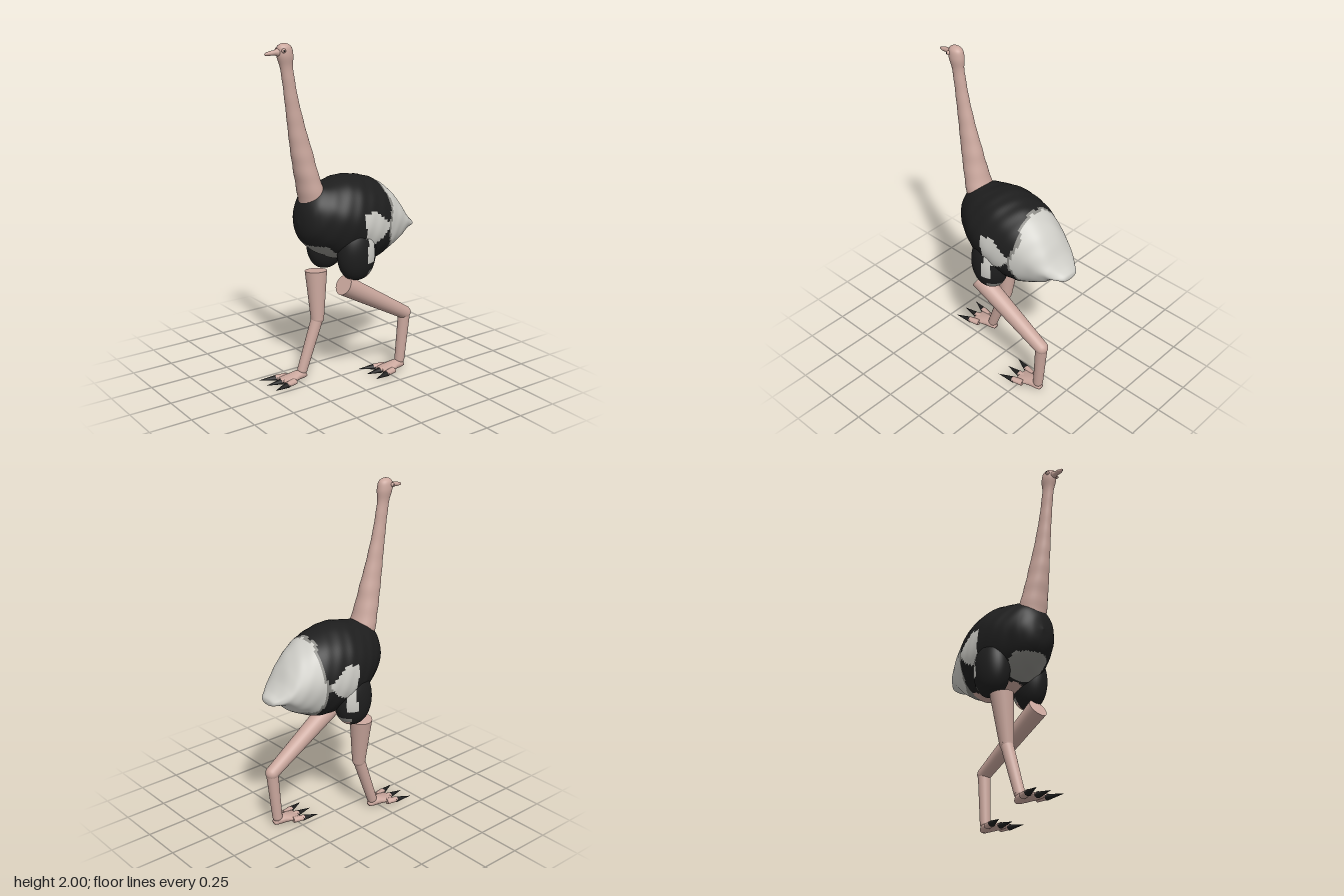
import * as THREE from 'three';

const makeMat = (name, color) => {
  const m = new THREE.MeshStandardMaterial({ color });
  m.name = name;
  return m;
};

// Closed skin over rings of points; pick(x, y, z) gives the material index of each face
function loft(name, rings, mats, pick) {
  const n = rings[0].length;
  const faces = mats.map(() => []);
  const at = (i, j) => rings[i][j % n];
  for (let i = 0; i < rings.length - 1; i++) {
    for (let j = 0; j < n; j++) {
      const p = at(i, j), q = at(i + 1, j + 1);
      const k = pick ? pick((p[0] + q[0]) / 2, (p[1] + q[1]) / 2, (p[2] + q[2]) / 2) : 0;
      const a = i * n + j, b = i * n + (j + 1) % n;
      faces[k].push(a, a + n, b, b, a + n, b + n);
    }
  }
  const g = new THREE.BufferGeometry();
  g.setAttribute('position', new THREE.Float32BufferAttribute(rings.flat(2), 3));
  g.setIndex(faces.flat());
  let start = 0;
  faces.forEach((f, k) => {
    if (f.length) g.addGroup(start, f.length, k);
    start += f.length;
  });
  g.computeVertexNormals();
  const mesh = new THREE.Mesh(g, mats);
  mesh.name = name;
  return mesh;
}

const circle = (n, fn) => Array.from({ length: n }, (_, j) => {
  const a = (j / n) * Math.PI * 2;
  return fn(Math.cos(a), Math.sin(a), a);
});

// Smoothly resample rows of four numbers
function resample(rows, steps) {
  const c1 = new THREE.CatmullRomCurve3(rows.map(r => new THREE.Vector3(r[0], r[1], r[2])));
  const c2 = new THREE.CatmullRomCurve3(rows.map(r => new THREE.Vector3(r[0], r[3], 0)));
  return Array.from({ length: steps + 1 }, (_, i) => {
    const p = c1.getPoint(i / steps);
    return [p.x, p.y, p.z, Math.max(0, c2.getPoint(i / steps).y)];
  });
}

// Side outline of the pale wing patch, as [z, y]
const WING = [[-0.01, 1.04], [-0.09, 1.06], [-0.14, 1.01], [-0.2, 0.96], [-0.19, 0.93],
  [-0.12, 0.87], [-0.08, 0.86], [-0.075, 0.755], [-0.015, 0.755], [-0.03, 0.88], [-0.015, 0.95]];
function inWing(z, y) {
  let inside = false;
  WING.forEach(([z1, y1], i) => {
    const [z2, y2] = WING[(i + 1) % WING.length];
    if ((y1 > y) !== (y2 > y) && z < z1 + ((y - y1) / (y2 - y1)) * (z2 - z1)) inside = !inside;
  });
  return inside;
}

// Plumage colours: 0 black, 1 white, 2 grey, 3 skin
function plumage(x, y, z) {
  const ax = Math.abs(x);
  const edge = -0.212 + 0.012 * Math.sin(y * 22) + 0.005 * Math.sin(x * 70);
  if (y < 0.755 && ax < 0.1 && z < 0.13 && z > -0.24) return 3;
  if (z > 0.08 && y < 0.87 && ax < 0.12 - Math.max(0, 0.8 - y)) return 2;
  if (z < edge) return z > edge - 0.016 || y < 0.79 ? 2 : 1;
  if (ax > 0.08 && inWing(z, y)) return 1;
  if (ax > 0.1 && z < -0.17 && Math.abs(y - 0.95) < 0.025) return 2;
  return 0;
}
const thighPlumage = (x, y, z) => (z < -0.04 && y < 0.72 ? (y < 0.69 ? 3 : 2) : plumage(x, y, z) === 1 ? 1 : 0);

export function createModel() {
  const root = new THREE.Group();
  root.name = 'ostrich';
  const black = makeMat('blackFeathers', 0x1e1e1e);
  const white = makeMat('whiteFeathers', 0xcfcec8);
  const grey = makeMat('greyFeathers', 0x8b8a85);
  const skin = makeMat('pinkSkin', 0xcba89e);
  const coat = [black, white, grey, skin];

  const add = (name, geo, mat, pos, parent = root) => {
    const m = new THREE.Mesh(geo, mat);
    m.name = name;
    m.position.set(...pos);
    parent.add(m);
    return m;
  };

  // Body and tail: z, top, bottom, half width
  const bodyRows = resample([
    [0.298, 1.0, 1.0, 0], [0.28, 1.1, 0.91, 0.075], [0.24, 1.165, 0.855, 0.125],
    [0.18, 1.2, 0.81, 0.165], [0.1, 1.215, 0.77, 0.205], [0, 1.235, 0.735, 0.226],
    [-0.1, 1.225, 0.715, 0.222], [-0.2, 1.195, 0.72, 0.203], [-0.3, 1.125, 0.765, 0.165],
    [-0.36, 1.055, 0.8, 0.14], [-0.41, 0.975, 0.85, 0.115], [-0.45, 0.93, 0.86, 0.085],
    [-0.485, 0.905, 0.865, 0.05], [-0.492, 0.885, 0.885, 0]], 110);
  root.add(loft('body', bodyRows.map(([z, top, bot, w]) => circle(96, (c, s, a) => {
    const k = 1 + 0.012 * Math.sin(a * 7 + z * 30) * Math.sin(z * 45);
    return [w * c * k, (top + bot) / 2 + ((top - bot) / 2) * s * k, z];
  })), coat, plumage));

  // Feathered thighs
  for (const side of [-1, 1]) {
    const rings = Array.from({ length: 41 }, (_, i) => {
      const t = -Math.PI / 2 + (i / 40) * Math.PI, r = Math.pow(Math.max(0, Math.cos(t)), 0.8);
      return circle(48, (c, s) => [side * 0.142 + 0.092 * r * c, 0.81 + 0.16 * Math.sin(t),
        (side < 0 ? 0.015 : -0.005) + 0.12 * r * s]);
    });
    root.add(loft(side > 0 ? 'leftThigh' : 'rightThigh', rings, coat, thighPlumage));
  }

  // Neck and head: y, centre z, half width, half depth
  const neckRows = resample([
    [1.1, 0.19, 0.088, 0.083], [1.2, 0.218, 0.08, 0.073], [1.3, 0.245, 0.067, 0.067],
    [1.4, 0.267, 0.056, 0.063], [1.5, 0.29, 0.046, 0.054], [1.6, 0.31, 0.039, 0.046],
    [1.7, 0.329, 0.034, 0.039], [1.8, 0.345, 0.031, 0.036], [1.88, 0.358, 0.031, 0.038],
    [1.94, 0.366, 0.039, 0.048], [1.98, 0.37, 0.033, 0.042], [1.996, 0.372, 0.016, 0.022],
    [2.0, 0.372, 0, 0]], 70);
  root.add(loft('neckAndHead', neckRows.map(([y, z, rx, rz]) => circle(32, (c, s) => {
    const k = 1 + 0.015 * Math.sin(y * 60);
    return [rx * c * k, y, z + rz * s * k];
  })), [skin]));

  // Beak: z, centre y, half width, half height
  const zLoft = (name, rows, n) => loft(name, rows.map(([z, y, rx, ry]) =>
    circle(n, (c, s) => [rx * c, y + ry * s, z])), [skin]);
  root.add(zLoft('beak', [[0.494, 1.946, 0, 0], [0.485, 1.948, 0.006, 0.008], [0.46, 1.951, 0.016, 0.012],
    [0.43, 1.953, 0.013, 0.014], [0.41, 1.953, 0.02, 0.022], [0.38, 1.953, 0.025, 0.026]], 16));

  // Eyes
  for (const side of [-1, 1]) {
    add('eyelid', new THREE.SphereGeometry(0.012, 16, 12), skin, [side * 0.034, 1.963, 0.393]);
    add('eye', new THREE.SphereGeometry(0.006, 12, 8), black, [side * 0.042, 1.964, 0.395]);
  }

  // Legs: hip, knee and ankle with their radii
  function limb(name, a, b, ra, rb) {
    const p = new THREE.Vector3(...a), d = new THREE.Vector3(...b).sub(p);
    const m = add(name, new THREE.CylinderGeometry(rb, ra, d.length(), 28), skin,
      p.clone().addScaledVector(d, 0.5).toArray());
    m.quaternion.setFromUnitVectors(new THREE.Vector3(0, 1, 0), d.normalize());
  }
  function leg(side, hip, knee, ankle, hipR, footZ) {
    limb(side + 'UpperLeg', hip, knee, hipR, 0.04);
    add(side + 'Knee', new THREE.SphereGeometry(0.04, 24, 16), skin, knee);
    limb(side + 'LowerLeg', knee, ankle, 0.036, 0.03);
    add(side + 'Ankle', new THREE.SphereGeometry(0.03, 20, 14), skin, ankle);

    const foot = new THREE.Group();
    foot.name = side + 'Foot';
    foot.position.set(ankle[0], 0, footZ);
    root.add(foot);
    // Sole, then three toes with claws
    foot.add(zLoft('sole', [[0.125, 0.018, 0, 0], [0.12, 0.018, 0.055, 0.012], [0.07, 0.022, 0.05, 0.02],
      [0.02, 0.029, 0.036, 0.027], [-0.02, 0.03, 0.03, 0.026], [-0.04, 0.022, 0.02, 0.014],
      [-0.045, 0.02, 0, 0]], 24));
    for (const k of [-1, 0, 1]) {
      const toe = new THREE.Group();
      toe.name = 'toe';
      toe.position.set(k * 0.05, 0.019, 0.08);
      toe.rotation.y = k * 0.26;
      foot.add(toe);
      const bone = add('toeBone', new THREE.CylinderGeometry(0.019, 0.022, 0.07, 16), skin, [0, 0, 0.02], toe);
      const claw = add('claw', new THREE.ConeGeometry(0.021, 0.105, 16), black, [0, -0.002, 0.098], toe);
      for (const m of [bone, claw]) {
        m.rotation.x = Math.PI / 2;
        m.scale.z = 0.8;
      }
    }
  }
  leg('right', [-0.13, 0.645, 0.09], [-0.103, 0.36, 0.1], [-0.103, 0.055, 0.21], 0.066, 0.228);
  leg('left', [0.135, 0.63, 0.08], [0.11, 0.355, -0.385], [0.103, 0.055, -0.36], 0.06, -0.342);

  return root;
}
